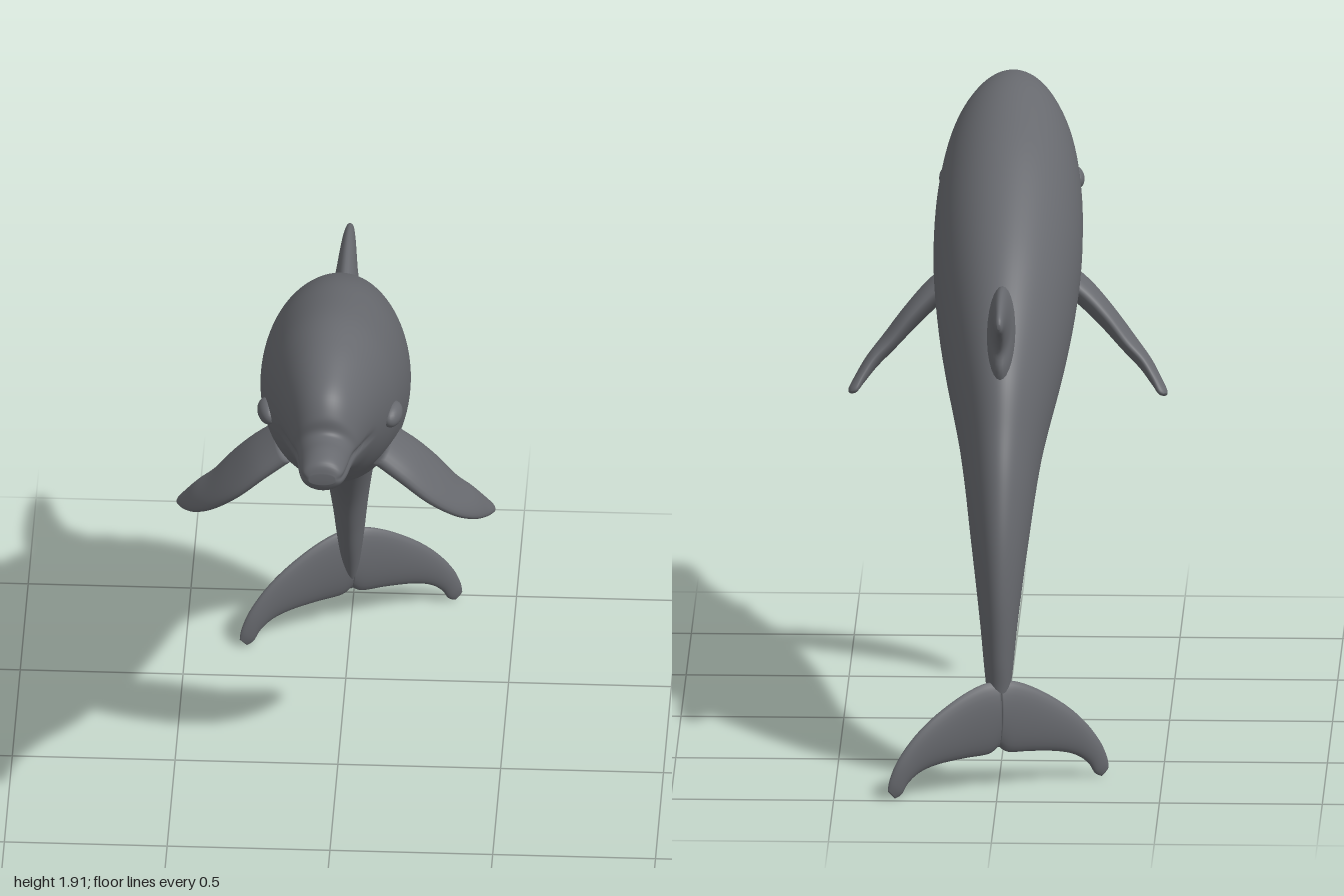
import * as THREE from 'three';

const skin = new THREE.MeshStandardMaterial({ color: 0x67696e });
skin.name = 'slate grey skin';

// Smooth closed skin through oval sections [ax,ay,az, bx,by,bz, sx,sy,sz]:
// a and b are opposite rim points, s is the half-width vector across them.
function loft(name, sections, around, steps, adjust) {
  const n = (sections.length - 1) * steps;
  const spline = (p0, p1, p2, p3, t) => 0.5 * (2 * p1 + (p2 - p0) * t +
    (2 * p0 - 5 * p1 + 4 * p2 - p3) * t * t + (3 * p1 - p0 - 3 * p2 + p3) * t * t * t);
  const at = i => sections[Math.max(0, Math.min(sections.length - 1, i))];
  const points = [];
  const centres = [];
  for (let r = 0; r <= n; r++) {
    const i = Math.min(Math.floor(r / steps), sections.length - 2);
    const t = r / steps - i;
    const v = at(i).map((_, k) => spline(at(i - 1)[k], at(i)[k], at(i + 1)[k], at(i + 2)[k], t));
    const a = new THREE.Vector3(v[0], v[1], v[2]);
    const b = new THREE.Vector3(v[3], v[4], v[5]);
    const s = new THREE.Vector3(v[6], v[7], v[8]);
    const c = a.clone().add(b).multiplyScalar(0.5);
    const h = a.clone().sub(b).multiplyScalar(0.5);
    centres.push(c);
    for (let j = 0; j < around; j++) {
      const q = (j / around) * Math.PI * 2;
      const p = c.clone().addScaledVector(h, Math.cos(q)).addScaledVector(s, Math.sin(q));
      if (adjust) adjust(p);
      points.push(p);
    }
  }
  const index = [];
  for (let r = 0; r < n; r++) {
    for (let j = 0; j < around; j++) {
      const k = (j + 1) % around;
      const A = r * around + j, B = r * around + k, C = A + around, D = B + around;
      index.push(A, B, D, A, D, C);
    }
  }
  // end caps
  const first = points.push(centres[0]) - 1;
  const last = points.push(centres[n]) - 1;
  for (let j = 0; j < around; j++) {
    const k = (j + 1) % around;
    index.push(first, k, j, last, n * around + j, n * around + k);
  }
  // make every face point outwards, also for mirrored parts
  let volume = 0;
  for (let i = 0; i < index.length; i += 3) {
    const [p, q, r] = [points[index[i]], points[index[i + 1]], points[index[i + 2]]];
    volume += p.dot(q.clone().cross(r));
  }
  if (volume < 0) index.reverse();
  const geometry = new THREE.BufferGeometry().setFromPoints(points);
  geometry.setIndex(index);
  geometry.computeVertexNormals();
  const mesh = new THREE.Mesh(geometry, skin);
  mesh.name = name;
  return mesh;
}

// [top z, top y, bottom z, bottom y, half width] from beak to tail stock
const bodyRings = [
  [1.0, 1.672, 1.0, 1.635, 0.045], [0.985, 1.706, 0.98, 1.605, 0.064],
  [0.93, 1.722, 0.91, 1.565, 0.076], [0.875, 1.722, 0.82, 1.54, 0.085],
  [0.85, 1.735, 0.76, 1.517, 0.094], [0.842, 1.78, 0.71, 1.487, 0.106],
  [0.8, 1.835, 0.66, 1.455, 0.124], [0.72, 1.872, 0.6, 1.418, 0.148],
  [0.6, 1.903, 0.53, 1.365, 0.178], [0.45, 1.907, 0.45, 1.312, 0.205],
  [0.25, 1.862, 0.36, 1.258, 0.222], [0.08, 1.808, 0.25, 1.18, 0.228],
  [-0.09, 1.722, 0.13, 1.106, 0.225], [-0.287, 1.6, -0.03, 1.02, 0.207],
  [-0.437, 1.485, -0.18, 0.943, 0.182], [-0.56, 1.37, -0.31, 0.875, 0.154],
  [-0.66, 1.255, -0.405, 0.807, 0.13], [-0.735, 1.11, -0.49, 0.725, 0.11],
  [-0.8, 0.965, -0.57, 0.63, 0.093], [-0.85, 0.79, -0.635, 0.535, 0.075],
  [-0.871, 0.604, -0.69, 0.42, 0.057], [-0.862, 0.42, -0.735, 0.315, 0.043],
  [-0.845, 0.3, -0.78, 0.22, 0.03], [-0.838, 0.17, -0.82, 0.13, 0.012],
];

// shallow groove for the mouth line
function mouthGroove(p) {
  if (p.z < 0.64) return;
  const d = (p.y - (1.612 + (p.z - 0.64) * 0.12)) / 0.011;
  const fade = Math.min(1, (p.z - 0.64) / 0.08);
  p.x *= 1 - 0.1 * fade * Math.exp(-d * d);
}

// [leading x,y,z, trailing x,y,z, half thickness]
const flipperRings = [
  [0.14, 1.34, 0.385, 0.14, 1.37, 0.19, 0.045], [0.22, 1.272, 0.388, 0.23, 1.305, 0.18, 0.04],
  [0.3, 1.19, 0.37, 0.3, 1.235, 0.165, 0.034], [0.375, 1.115, 0.32, 0.36, 1.16, 0.152, 0.028],
  [0.43, 1.06, 0.25, 0.41, 1.11, 0.135, 0.023], [0.465, 1.025, 0.18, 0.445, 1.06, 0.11, 0.018],
  [0.485, 1.01, 0.13, 0.465, 1.025, 0.09, 0.013], [0.488, 1.006, 0.112, 0.479, 1.014, 0.092, 0.005],
];

// [leading z,y, trailing z,y, half thickness]
const dorsalRings = [
  [-0.36, 1.48, -0.64, 1.2, 0.05], [-0.43, 1.49, -0.668, 1.275, 0.042],
  [-0.52, 1.507, -0.66, 1.335, 0.033], [-0.6, 1.513, -0.685, 1.375, 0.027],
  [-0.68, 1.509, -0.725, 1.405, 0.021], [-0.74, 1.495, -0.755, 1.418, 0.016],
  [-0.775, 1.478, -0.778, 1.43, 0.012], [-0.787, 1.46, -0.787, 1.445, 0.005],
];

// [leading x,y, trailing x,y, half thickness]
const flukeRings = [
  [0, 0.34, 0, 0.135, 0.03], [0.05, 0.335, 0.03, 0.113, 0.028],
  [0.12, 0.302, 0.1, 0.108, 0.024], [0.2, 0.245, 0.18, 0.098, 0.021],
  [0.26, 0.185, 0.235, 0.08, 0.018], [0.305, 0.12, 0.272, 0.05, 0.016],
  [0.328, 0.065, 0.292, 0.016, 0.012], [0.334, 0.03, 0.312, 0.004, 0.005],
];

export function createModel() {
  const model = new THREE.Group();
  model.name = 'dolphin';

  model.add(loft('body', bodyRings.map(([tz, ty, bz, by, w]) =>
    [0, ty, tz, 0, by, bz, w, 0, 0]), 80, 6, mouthGroove));

  model.add(loft('dorsalFin', dorsalRings.map(([lz, ly, tz, ty, w]) =>
    [0, ly, lz, 0, ty, tz, w, 0, 0]), 28, 5));

  for (const [side, label] of [[1, 'left'], [-1, 'right']]) {
    model.add(loft(label + 'Flipper', flipperRings.map(([lx, ly, lz, tx, ty, tz, w]) =>
      [side * lx, ly, lz, side * tx, ty, tz, side * w * 0.7, w * 0.71, w * 0.15]), 28, 5));

    // the tail is twisted, so one lobe swings forward and the other back
    const z = x => -0.825 - 0.47 * side * x;
    model.add(loft(label + 'Fluke', flukeRings.map(([lx, ly, tx, ty, w]) =>
      [side * lx, ly, z(lx), side * tx, ty, z(tx), 0.43 * w, 0, 0.9 * w]), 28, 5));

    // eye bulge
    const eye = new THREE.Mesh(new THREE.SphereGeometry(1, 24, 16), skin);
    eye.name = label + 'Eye';
    eye.scale.set(0.03, 0.036, 0.055);
    eye.position.set(side * 0.192, 1.59, 0.505);
    eye.rotation.y = side * -0.2;
    model.add(eye);
  }
  return model;
}
